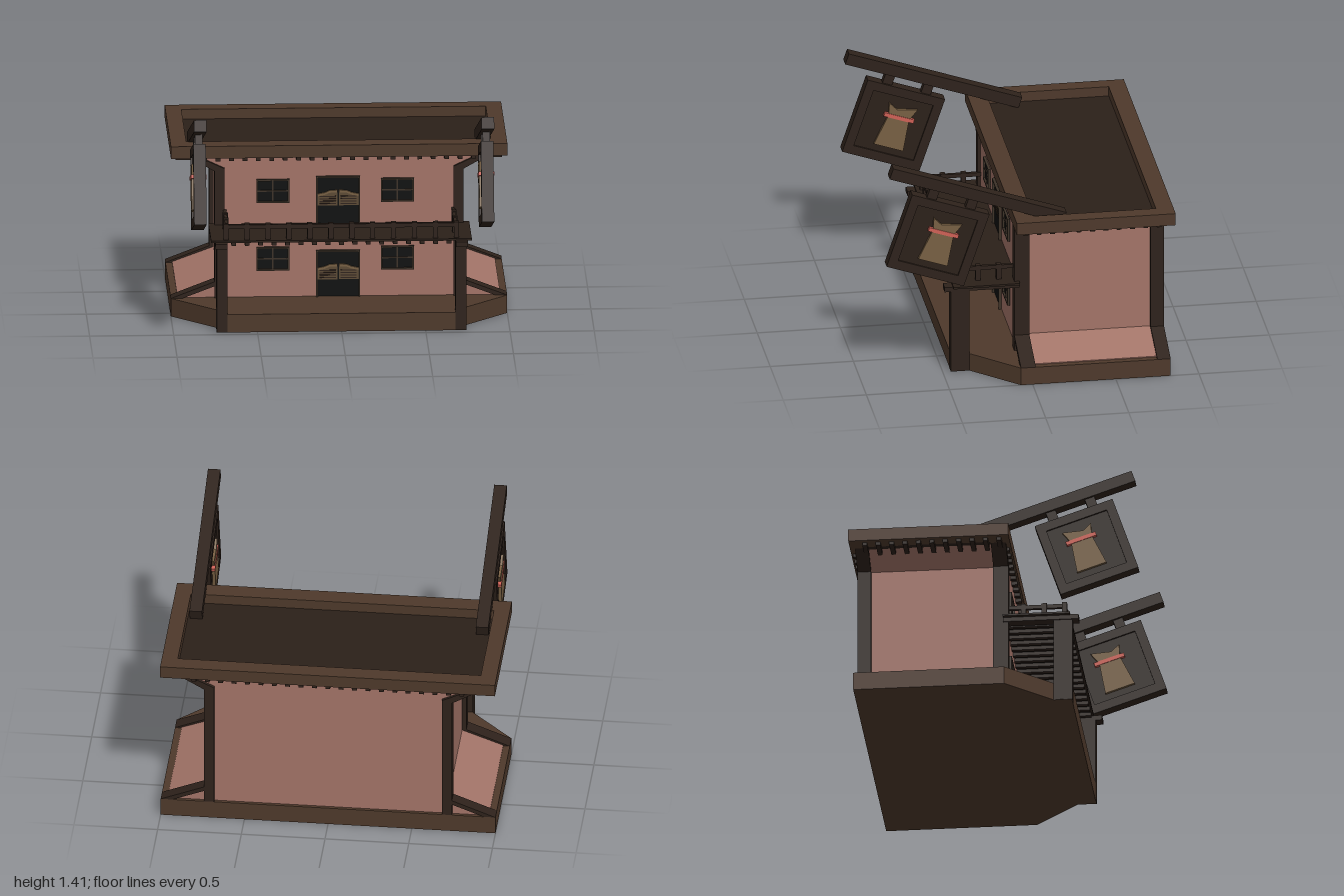
import * as THREE from 'three';

const mat = (color) => new THREE.MeshStandardMaterial({ color, flatShading: true });
const wood = mat(0x4e392b), dark = mat(0x2e221b), floorWood = mat(0x2b2019), pink = mat(0xa37468);
const black = mat(0x0d0e0e), slat = mat(0x5c4a34), tan = mat(0x786043), red = mat(0xcf6156), trim = mat(0x3d3228);

export function createModel() {
  const root = new THREE.Group();
  root.name = 'saloon';

  const group = (name, parent = root) => {
    const g = new THREE.Group();
    g.name = name;
    parent.add(g);
    return g;
  };
  // Box given by its limits on each axis
  const box = (name, m, x0, x1, y0, y1, z0, z1, parent = root) => {
    const mesh = new THREE.Mesh(new THREE.BoxGeometry(Math.abs(x1 - x0), y1 - y0, z1 - z0), m);
    mesh.position.set((x0 + x1) / 2, (y0 + y1) / 2, (z0 + z1) / 2);
    mesh.name = name;
    parent.add(mesh);
    return mesh;
  };
  const shapeOf = (pts) => new THREE.Shape(pts.map(([x, y]) => new THREE.Vector2(x, y)));
  const prism = (name, m, shape, z0, z1, parent = root) => {
    const geo = new THREE.ExtrudeGeometry(shape, { depth: z1 - z0, bevelEnabled: false });
    geo.translate(0, 0, z0);
    const mesh = new THREE.Mesh(geo, m);
    mesh.name = name;
    parent.add(mesh);
    return mesh;
  };
  // Plan shapes use (x, -z) and are laid flat
  const slab = (name, m, shape, y0, y1) => {
    const mesh = prism(name, m, shape, y0, y1);
    mesh.geometry.rotateX(-Math.PI / 2);
    return mesh;
  };
  const mirrored = (half) => [...half, ...half.map(([x, y]) => [-x, y]).reverse()];

  // Base with chamfered front corners
  slab('base', wood, shapeOf(mirrored([[1, 0.83], [1, -0.07], [0.74, -0.34], [0.74, -0.45]])), 0, 0.11);

  // Flared wall body
  prism('walls', pink, shapeOf(mirrored([[0.96, 0.1], [0.96, 0.115], [0.715, 0.205], [0.715, 0.895], [0.87, 0.98]])), -0.81, 0.05);

  // Corner posts with flared feet and heads
  const frame = group('cornerFrames');
  for (const s of [-1, 1]) {
    for (const [z0, z1] of [[-0.02, 0.07], [-0.83, -0.75]]) {
      box('cornerPost', dark, s * 0.68, s * 0.74, 0.11, 0.9, z0, z1, frame);
      const flip = (pts) => shapeOf(pts.map(([x, y]) => [s * x, y]));
      prism('footBrace', dark, flip([[1, 0.11], [0.74, 0.21], [0.7, 0.21], [0.72, 0.19], [0.93, 0.11]]), z0, z1, frame);
      prism('headBrace', dark, flip([[0.68, 0.89], [0.74, 0.89], [0.9, 0.98], [0.84, 0.98], [0.68, 0.905]]), z0, z1, frame);
    }
  }

  // Roof rim and sunken deck
  const rim = shapeOf([[-1, -0.095], [1, -0.095], [1, 0.86], [-1, 0.86]]);
  rim.holes.push(shapeOf([[-0.905, 0.02], [-0.905, 0.755], [0.905, 0.755], [0.905, 0.02]]));
  slab('roofRim', wood, rim, 0.975, 1.05);
  box('roofDeck', floorWood, -0.92, 0.92, 0.977, 0.99, -0.78, 0);

  // Dentils under the eaves
  const dentils = group('eaveDentils');
  for (let i = -10; i <= 10; i++) {
    const x = i * 0.08;
    box('dentil', dark, x - 0.014, x + 0.014, 0.955, 0.976, 0.03, 0.085, dentils);
    box('dentil', dark, x - 0.014, x + 0.014, 0.955, 0.976, -0.85, -0.79, dentils);
  }
  for (let i = 0; i <= 10; i++) {
    const z = 0.035 - i * 0.08;
    for (const s of [-1, 1]) box('dentil', dark, s * 0.8, s * 0.97, 0.955, 0.976, z - 0.014, z + 0.014, dentils);
  }

  // Windows
  const makeWindow = (cx, y0) => {
    const g = group('window'), x0 = cx - 0.098, x1 = cx + 0.098, y1 = y0 + 0.144, t = 0.01;
    box('glass', black, x0, x1, y0, y1, 0.04, 0.054, g);
    for (const x of [x0, x1 - t]) box('windowJamb', trim, x, x + t, y0, y1, 0.045, 0.066, g);
    for (const y of [y0, y1 - t]) box('windowRail', trim, x0, x1, y, y + t, 0.045, 0.066, g);
    box('mullion', trim, cx - 0.004, cx + 0.004, y0, y1, 0.045, 0.06, g);
    box('muntin', trim, x0, x1, y0 + 0.068, y0 + 0.076, 0.045, 0.06, g);
  };
  // Doorway with a pair of slatted swing doors
  const makeDoor = (y0, y1, leafY) => {
    const g = group('doorway');
    g.position.x = -0.005;
    box('opening', black, -0.131, 0.131, y0, y1, 0.04, 0.054, g);
    for (const s of [-1, 1]) {
      box('doorJamb', trim, s * 0.121, s * 0.131, y0, y1, 0.045, 0.068, g);
      const leaf = group('swingDoor', g);
      const top = [[0.004, 0.095], [0.05, 0.093], [0.08, 0.08], [0.12, 0.072]];
      prism('leaf', slat, shapeOf([...top, [0.12, 0], [0.004, 0]].map(([x, y]) => [s * x, y + leafY])), 0.05, 0.06, leaf);
      prism('leafTop', tan, shapeOf([...top, ...top.map(([x, y]) => [x, y - 0.014]).reverse()]
        .map(([x, y]) => [s * x, y + leafY])), 0.055, 0.065, leaf);
      for (let i = 0; i < 4; i++) {
        const y = leafY + 0.008 + i * 0.015;
        box('louver', dark, s * 0.014, s * 0.11, y, y + 0.006, 0.055, 0.063, leaf);
      }
    }
    box('lintel', trim, -0.131, 0.131, y1 - 0.01, y1, 0.045, 0.068, g);
  };
  for (const y of [0.273, 0.69]) for (const x of [-0.393, 0.347]) makeWindow(x, y);
  makeDoor(0.11, 0.395, 0.215);
  makeDoor(0.555, 0.85, 0.67);

  // Balcony deck, joists and front posts
  const balcony = group('balcony');
  box('balconyDeck', floorWood, -0.775, 0.775, 0.548, 0.56, 0.04, 0.44, balcony);
  for (const s of [-1, 1]) {
    box('joist', dark, s * 0.68, s * 0.75, 0.522, 0.552, 0.04, 0.49, balcony);
    box('porchPost', dark, s * 0.678, s * 0.742, 0.001, 0.55, 0.34, 0.452, balcony);
  }
  for (let i = -8; i <= 8; i++) {
    const x = i * 0.08;
    box('joistEnd', dark, x - 0.014, x + 0.014, 0.527, 0.55, 0.05, 0.43, balcony);
  }

  // Balcony railing
  const railing = group('railing', balcony);
  box('frontRail', dark, -0.68, 0.68, 0.626, 0.65, 0.39, 0.412, railing);
  for (let i = 0; i <= 11; i++) {
    const x = -0.685 + i * 0.1245;
    box('baluster', dark, x - 0.015, x + 0.015, 0.555, 0.657, 0.386, 0.416, railing);
  }
  for (const s of [-1, 1]) {
    box('sideRail', dark, s * 0.67, s * 0.69, 0.626, 0.65, 0.05, 0.4, railing);
    for (const z of [0.155, 0.28]) box('baluster', dark, s * 0.665, s * 0.695, 0.555, 0.657, z - 0.015, z + 0.015, railing);
  }

  // Tilted sign beams with hanging signs
  for (const s of [-1, 1]) {
    const sign = group('hangingSign');
    sign.position.set(s * 0.855, 0.924, 0.552);
    sign.rotation.x = -0.328;
    box('signBeam', dark, -0.0375, 0.0375, 0.302, 0.372, -0.69, 0.41, sign);
    for (const z of [-0.125, 0.12]) box('hanger', dark, -0.022, 0.022, 0.23, 0.31, z - 0.03, z + 0.03, sign);
    box('signPanel', floorWood, -0.025, 0.025, -0.22, 0.22, -0.22, 0.22, sign);
    // Profiles drawn in the side plane are turned to face sideways
    const border = shapeOf([[-0.245, -0.24], [0.245, -0.24], [0.245, 0.24], [-0.245, 0.24]]);
    border.holes.push(shapeOf([[-0.19, -0.185], [-0.19, 0.185], [0.19, 0.185], [0.19, -0.185]]));
    const sack = shapeOf([[-0.073, 0.134], [-0.014, 0.105], [0.106, 0.135], [0.078, 0.058],
      [0.107, -0.141], [-0.078, -0.141], [-0.052, 0.058]]);
    prism('signBorder', dark, border, -0.037, 0.037, sign).rotation.y = Math.PI / 2;
    prism('sack', tan, sack, -0.043, 0.043, sign).rotation.y = Math.PI / 2;
    box('sackTie', red, -0.047, 0.047, 0.046, 0.07, -0.108, 0.08, sign);
  }
  return root;
}
